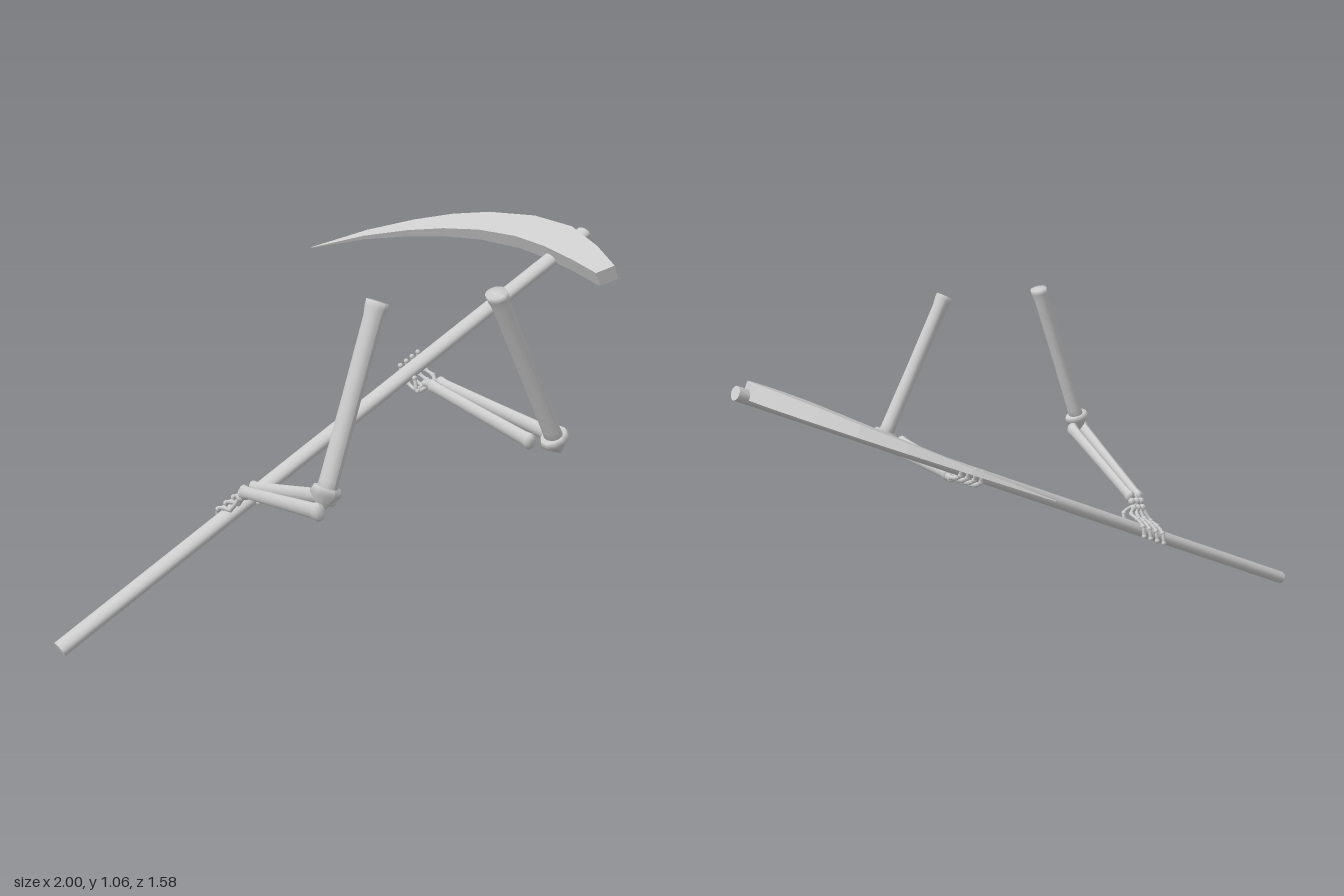
import * as THREE from 'three';

const V = (x, y, z) => new THREE.Vector3(x, y, z);
const grey = new THREE.MeshStandardMaterial({ color: 0xcccccc });
const faceted = new THREE.MeshStandardMaterial({ color: 0xcccccc, flatShading: true });

function add(parent, name, geometry, material = grey) {
  const mesh = new THREE.Mesh(geometry, material);
  mesh.name = name;
  parent.add(mesh);
  return mesh;
}

// Lathed rod from a to b; profile is [fraction, radius], rx and rz squash its section
function rod(parent, name, a, b, profile, ref, rx = 1, rz = 1, sides = 16) {
  const dir = b.clone().sub(a);
  const len = dir.length();
  const pts = profile.map(([t, r]) => new THREE.Vector2(r, t * len));
  pts.unshift(new THREE.Vector2(0, profile[0][0] * len));
  pts.push(new THREE.Vector2(0, profile[profile.length - 1][0] * len));
  const geo = new THREE.LatheGeometry(pts, sides);
  geo.scale(rx, 1, rz);
  const y = dir.normalize();
  const x = y.clone().cross(ref).normalize();
  const z = x.clone().cross(y);
  geo.applyMatrix4(new THREE.Matrix4().makeBasis(x, y, z).setPosition(a));
  geo.computeVertexNormals();
  return add(parent, name, geo);
}

const Z = V(0, 0, 1), Y = V(0, 1, 0);
const shaftY = (x) => 0.485 + 0.47 * x;

// Curved blade: four-cornered sections [outer x, outer z, inner x, inner z, thickness]
function bladeGeometry() {
  const rows = [
    [0.875, 0.37, 0.82, 0.345, 0.05], [0.925, 0.24, 0.835, 0.22, 0.05],
    [0.965, 0.08, 0.845, 0.08, 0.05], [0.955, -0.09, 0.842, -0.06, 0.048],
    [0.905, -0.27, 0.815, -0.22, 0.042], [0.845, -0.4, 0.77, -0.36, 0.034],
    [0.765, -0.52, 0.708, -0.49, 0.026], [0.65, -0.655, 0.62, -0.635, 0.015],
    [0.49, -0.79, 0.488, -0.788, 0.002],
  ];
  const pos = [], idx = [];
  const level = (x, z) => 0.933 + 0.43 * (x - 0.955) - 0.08 * z;
  for (const [ox, oz, ix, iz, t] of rows) {
    const corner = (x, z, h) => pos.push(x - h * 0.4, level(x, z) + h * 0.91, z);
    corner(ox, oz, 0);
    corner(ox, oz, t);
    corner(ix, iz, t);
    corner(ix, iz, 0);
  }
  for (let i = 0; i < rows.length - 1; i++) {
    for (let j = 0; j < 4; j++) {
      const a = i * 4 + j, b = i * 4 + (j + 1) % 4;
      idx.push(a, a + 4, b, b, a + 4, b + 4);
    }
  }
  const e = (rows.length - 1) * 4;
  idx.push(0, 1, 2, 0, 2, 3, e, e + 2, e + 1, e, e + 3, e + 2);
  const geo = new THREE.BufferGeometry();
  geo.setAttribute('position', new THREE.Float32BufferAttribute(pos, 3));
  geo.setIndex(idx);
  geo.computeVertexNormals();
  return geo;
}

// Skeletal arm: side is +1 when the fingers pass over the shaft, -1 when under it
function buildArm(name, { shoulder, elbow, bones, fingersX, thumbX, side }) {
  const arm = new THREE.Group();
  arm.name = name;

  // Upper arm with flared top
  rod(arm, 'upperArmBone', elbow, shoulder,
    [[0, 0.03], [0.08, 0.028], [0.5, 0.027], [0.92, 0.028], [0.97, 0.032], [1, 0.032]], Z, 0.85, 1.05);
  // Pointed elbow below the upper arm
  const down = elbow.clone().sub(shoulder).normalize();
  const tip = elbow.clone().addScaledVector(down, 0.05);
  rod(arm, 'elbowPoint', tip, elbow.clone().addScaledVector(down, -0.02),
    [[0, 0.001], [0.75, 0.042], [1, 0.036]], Z, 1.1, 0.95, 10);

  // Paired forearm bones, knobbed at both ends
  const wrist = V(0, 0, 0);
  for (const [a, b] of bones) {
    rod(arm, 'forearmBone', a, b,
      [[0, 0.016], [0.02, 0.022], [0.07, 0.019], [0.5, 0.017], [0.93, 0.016], [0.98, 0.019], [1, 0.014]],
      Y, 0.9, 1.15, 12);
    wrist.addScaledVector(b, 0.5);
  }

  // Wrist bones
  const hand = new THREE.Group();
  hand.name = 'hand';
  arm.add(hand);
  const midX = (fingersX[0] + fingersX[3]) / 2;
  const palm = V(midX, shaftY(midX) + side * 0.04, 0.15);
  for (let row = 0; row < 2; row++) {
    for (let k = -1; k <= 1; k++) {
      const p = wrist.clone().lerp(palm, 0.15 + row * 0.35);
      const m = add(hand, 'wristBone', new THREE.SphereGeometry(0.013, 8, 6));
      m.position.set(p.x + k * 0.018, p.y + side * 0.002 * k, p.z);
    }
  }

  // Fingers curl around the shaft, with knuckles at the joints
  const digit = (label, pts) => {
    const curve = new THREE.CatmullRomCurve3(pts);
    add(hand, label, new THREE.TubeGeometry(curve, 18, 0.0065, 6));
    for (const p of pts.slice(1)) {
      add(hand, label + 'Joint', new THREE.SphereGeometry(0.0088, 8, 6)).position.copy(p);
    }
  };
  fingersX.forEach((x, i) => {
    const y = shaftY(x);
    const start = wrist.clone().lerp(palm, 0.5);
    start.x += (i - 1.5) * 0.012;
    digit('finger', [start, V(x, y + side * 0.042, 0.142), V(x, y + side * 0.034, 0.105),
      V(x, y + side * 0.018, 0.072), V(x, y - side * 0.014, 0.063)]);
  });
  // Thumb on the near side of the shaft
  const ty = shaftY(thumbX);
  digit('thumb', [wrist.clone().lerp(palm, 0.3), V(thumbX, ty + side * 0.035, 0.165),
    V(thumbX, ty - side * 0.002, 0.148)]);
  return arm;
}

export function createModel() {
  const model = new THREE.Group();
  model.name = 'scytheWithArms';

  // Long slanted handle, flattened oval section
  const shaft = new THREE.CylinderGeometry(1, 1, 2.19, 20);
  shaft.scale(0.021, 1, 0.03);
  const handle = add(model, 'handle', shaft);
  const a = V(-0.99, 0.02, 0.112), b = V(0.99, 0.95, 0.092);
  handle.position.copy(a).add(b).multiplyScalar(0.5);
  handle.quaternion.setFromUnitVectors(Y, b.sub(a).normalize());

  add(model, 'blade', bladeGeometry(), faceted);

  model.add(buildArm('rightArm', {
    shoulder: V(-0.307, 1.05, 0.668), elbow: V(-0.468, 0.56, 0.668),
    bones: [
      [V(-0.5, 0.525, 0.69), V(-0.425, 0.39, 0.19)],
      [V(-0.432, 0.535, 0.65), V(-0.392, 0.395, 0.19)],
    ],
    fingersX: [-0.44, -0.413, -0.386, -0.36], thumbX: -0.345, side: 1,
  }));
  model.add(buildArm('leftArm', {
    shoulder: V(0.018, 1.04, 0.75), elbow: V(0.262, 0.575, 0.75),
    bones: [
      [V(0.222, 0.56, 0.7), V(0.265, 0.582, 0.19)],
      [V(0.292, 0.57, 0.7), V(0.297, 0.585, 0.19)],
    ],
    fingersX: [0.245, 0.268, 0.291, 0.314], thumbX: 0.235, side: -1,
  }));
  return model;
}
